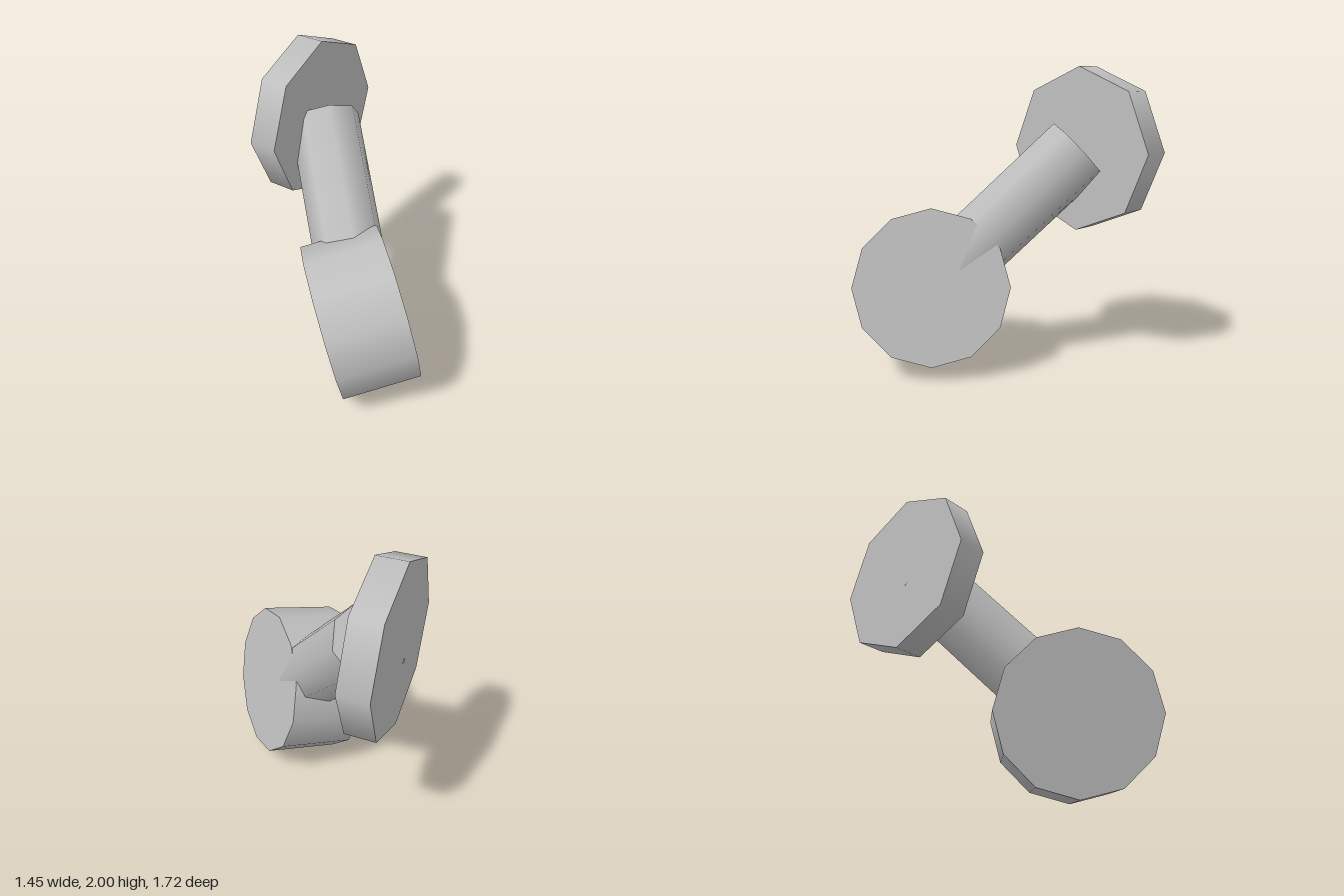
import * as THREE from 'three';

const grey = new THREE.MeshStandardMaterial({ color: 0xbfbfbf });
grey.name = 'plain grey';

// Faceted cylinder between two points, with one corner turned as far up as possible
function cylinderBetween(name, from, to, radius, sides) {
  const start = new THREE.Vector3(...from);
  const end = new THREE.Vector3(...to);
  const axis = end.clone().sub(start);
  const length = axis.length();
  axis.normalize();

  const up = new THREE.Vector3(0, 1, 0).addScaledVector(axis, -axis.y).normalize();
  const side = new THREE.Vector3().crossVectors(axis, up);

  const mesh = new THREE.Mesh(new THREE.CylinderGeometry(radius, radius, length, sides), grey);
  mesh.name = name;
  mesh.quaternion.setFromRotationMatrix(new THREE.Matrix4().makeBasis(side, axis, up));
  mesh.position.copy(start).add(end).multiplyScalar(0.5);
  return mesh;
}

export function createModel() {
  const model = new THREE.Group();
  model.name = 'wallLamp';
  model.add(
    // Octagonal mounting plate
    cylinderBetween('wallPlate', [-0.72, 1.46, -0.32], [-0.53, 1.46, -0.32], 0.54, 8),
    // Slanted arm running from the plate to the middle of the head
    cylinderBetween('arm', [-0.53, 1.46, -0.32], [0.185, 0.552, 0.325], 0.235, 8),
    // Twelve-sided drum head
    cylinderBetween('head', [0.01, 0.502, 0.5], [0.36, 0.603, 0.15], 0.51, 12)
  );
  return model;
}
